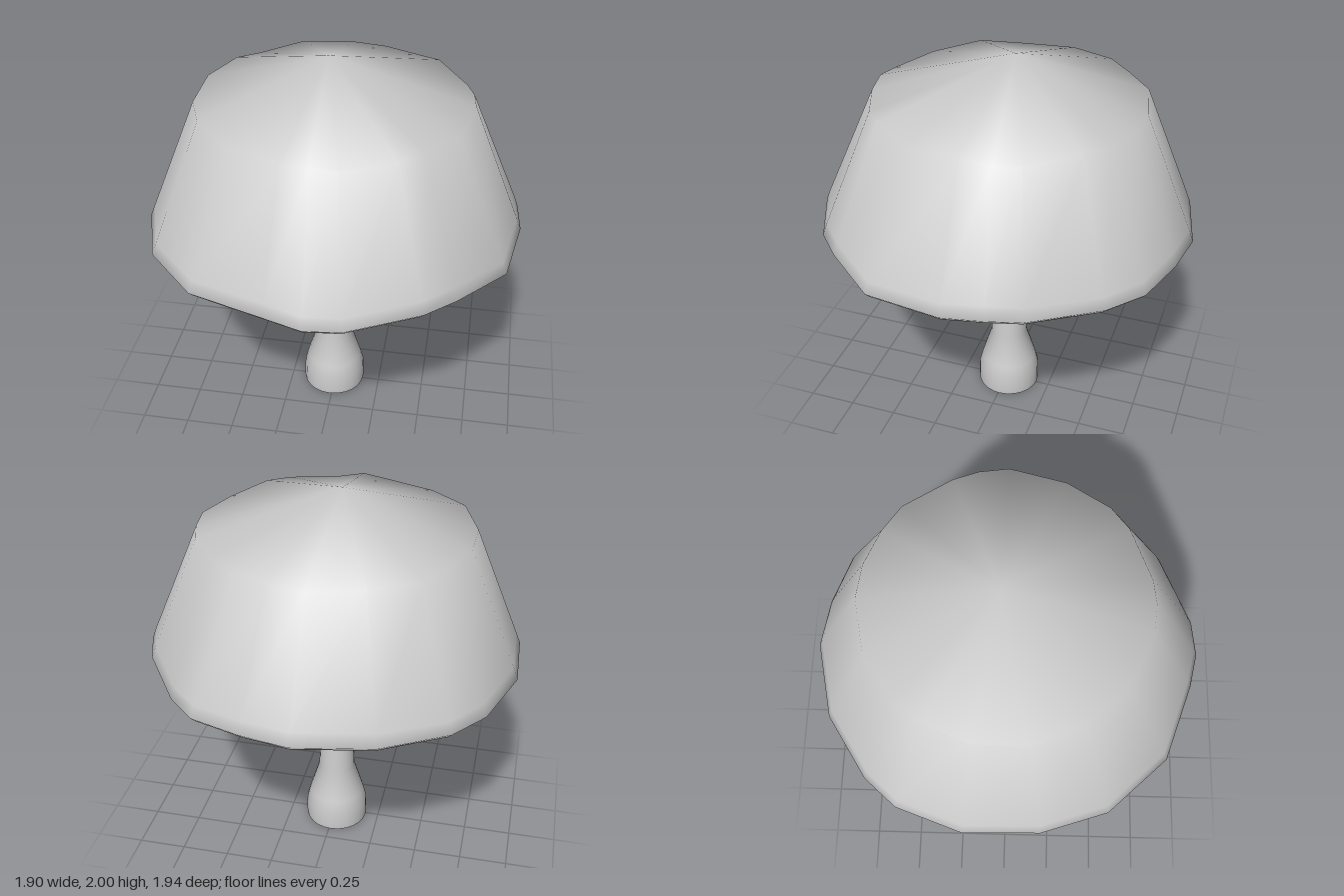
import * as THREE from 'three';

const material = new THREE.MeshStandardMaterial({ color: 0xcccccc, side: THREE.DoubleSide });

// Uneven rim outline (x, z), counter-clockwise seen from above
const RIM = [
  [0, -0.97], [-0.38, -0.89], [-0.69, -0.69], [-0.83, -0.53], [-0.95, -0.2],
  [-0.94, 0.18], [-0.83, 0.51], [-0.56, 0.8], [-0.18, 0.93], [0, 0.97],
  [0.18, 0.95], [0.53, 0.79], [0.67, 0.66], [0.89, 0.39], [0.95, 0],
  [0.93, -0.2], [0.87, -0.37], [0.65, -0.69], [0.5, -0.84], [0.24, -0.93],
];
const CENTRE = [-0.01, -0.01];

// Ring with the rim's directions at a fixed radius
const roundRing = (r, y, wobble = 0) => RIM.map(([x, z], i) => {
  const l = Math.hypot(x, z);
  return [CENTRE[0] + x / l * r, y + wobble * Math.sin(i * 2.3), CENTRE[1] + z / l * r];
});

// Ring that follows the rim outline, with a slightly wavy height
const rimRing = (s, y, wobble) => RIM.map(([x, z], i) => [x * s, y + wobble * Math.sin(i * 1.7 + 1), z * s]);

// Smooth skin from an apex down through the rings
function skin(apex, rings) {
  const n = RIM.length;
  const points = [apex, ...rings.flat()];
  const index = [];
  for (let i = 0; i < n; i++) {
    const j = (i + 1) % n;
    index.push(0, 1 + i, 1 + j);
    for (let k = 0; k < rings.length - 1; k++) {
      const a = 1 + k * n, b = a + n;
      index.push(b + i, b + j, a + j, b + i, a + j, a + i);
    }
  }
  const g = new THREE.BufferGeometry();
  g.setAttribute('position', new THREE.Float32BufferAttribute(points.flat(), 3));
  g.setIndex(index);
  g.computeVertexNormals();
  return g;
}

export function createModel() {
  const group = new THREE.Group();
  const add = (name, geometry) => {
    const mesh = new THREE.Mesh(geometry, material);
    mesh.name = name;
    group.add(mesh);
    return mesh;
  };

  // Cap: peaked top, flaring side, thin rim and shallow conical underside
  add('cap', skin([-0.04, 2, -0.03], [
    roundRing(0.685, 1.79, 0.012),
    rimRing(0.975, 1.2, 0.015),
    rimRing(1, 1.14, 0.012),
    rimRing(0.97, 1.11, 0.012),
    roundRing(0.07, 0.99),
  ]));

  // Stem with a swollen foot
  const profile = [
    [0.168, 0], [0.17, 0.02], [0.168, 0.11], [0.15, 0.18], [0.098, 0.35], [0.073, 1.0],
  ].map(([r, y]) => new THREE.Vector2(r, y));
  add('stem', new THREE.LatheGeometry(profile, 24)).position.set(CENTRE[0], 0, CENTRE[1]);

  // Flat base of the foot
  const base = add('stemBase', new THREE.CircleGeometry(0.168, 24));
  base.rotation.x = Math.PI / 2;
  base.position.set(CENTRE[0], 0, CENTRE[1]);

  return group;
}
